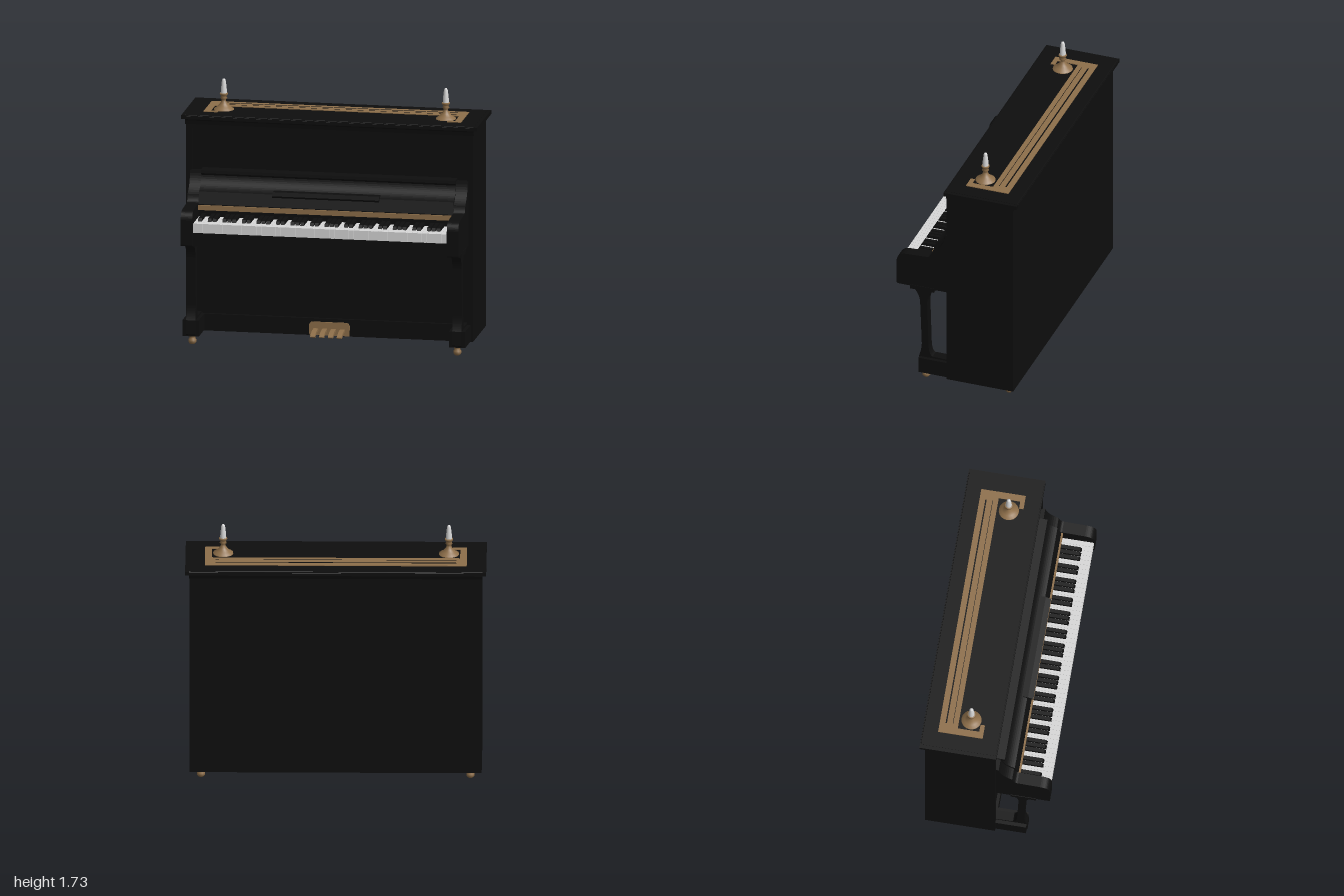
import * as THREE from 'three';

const mat = (name, color) => {
  const m = new THREE.MeshStandardMaterial({ color });
  m.name = name;
  return m;
};

export function createModel() {
  const model = new THREE.Group();
  model.name = 'uprightPiano';
  const black = mat('black lacquer', 0x0e0e0e);
  const gold = mat('brass', 0x8e6f4a);
  const white = mat('ivory', 0xd8d8d8);

  const add = (name, geometry, material, parent = model) => {
    const m = new THREE.Mesh(geometry, material);
    m.name = name;
    parent.add(m);
    return m;
  };
  // Box given by its limits on each axis
  const box = (name, material, x0, x1, y0, y1, z0, z1, parent) => {
    const g = new THREE.BoxGeometry(x1 - x0, y1 - y0, z1 - z0);
    g.translate((x0 + x1) / 2, (y0 + y1) / 2, (z0 + z1) / 2);
    return add(name, g, material, parent);
  };
  // Side profile drawn in (z, y), extruded along x from x0 to x1
  const profile = (name, material, shape, x0, x1, parent) => {
    const g = new THREE.ExtrudeGeometry(shape, { depth: x1 - x0, bevelEnabled: false, curveSegments: 10 });
    g.rotateY(-Math.PI / 2);
    g.translate(x1, 0, 0);
    return add(name, g, material, parent);
  };
  const poly = (pts) => new THREE.Shape(pts.map(([a, b]) => new THREE.Vector2(a, b)));
  const lathe = (pts, seg = 20) => new THREE.LatheGeometry(pts.map(([r, y]) => new THREE.Vector2(r, y)), seg);

  // Case: main body, raised side stiles and bottom rail
  box('caseBody', black, -0.97, 0.97, 0.055, 1.47, -0.4, 0.05);
  for (const s of [-1, 1]) {
    const a = s * 0.93, b = s * 0.97;
    box('caseStile', black, Math.min(a, b), Math.max(a, b), 0.055, 1.47, 0.05, 0.07);
  }
  box('bottomRail', black, -0.93, 0.93, 0.055, 0.17, 0.05, 0.07);
  box('topRail', black, -0.93, 0.93, 1.43, 1.47, 0.05, 0.065);

  // Lid with a stepped moulding beneath
  profile('lid', black, poly([
    [-0.4, 1.46], [0.07, 1.46], [0.074, 1.485], [0.083, 1.495], [0.083, 1.515], [0.075, 1.523],
    [-0.427, 1.523], [-0.435, 1.515], [-0.435, 1.495], [-0.41, 1.485],
  ]), -0.975, 0.975);
  box('lidEdge', black, -1, 1, 1.495, 1.521, -0.434, 0.082);

  // Brass inlay on the lid: long band, returned ends and two dark lines
  const inlay = new THREE.Group();
  inlay.name = 'lidInlay';
  model.add(inlay);
  box('inlayBand', gold, -0.87, 0.87, 1.522, 1.528, -0.33, -0.205, inlay);
  for (const s of [-1, 1]) {
    const span = (a, b) => (s > 0 ? [a, b] : [-b, -a]);
    box('inlayEnd', gold, ...span(0.825, 0.87), 1.522, 1.528, -0.205, -0.03, inlay);
    box('inlayFoot', gold, ...span(0.775, 0.825), 1.522, 1.528, -0.06, -0.03, inlay);
  }
  box('inlayLine', black, -0.8, 0.8, 1.528, 1.529, -0.291, -0.282, inlay);
  box('inlayLine', black, -0.8, 0.8, 1.528, 1.529, -0.243, -0.24, inlay);

  // Candlesticks
  for (const s of [-1, 1]) {
    const stick = new THREE.Group();
    stick.name = 'candlestick';
    stick.position.set(s * 0.75, 1.52, -0.125);
    model.add(stick);
    add('candleHolder', lathe([
      [0.068, 0], [0.066, 0.01], [0.045, 0.022], [0.028, 0.04], [0.016, 0.06], [0.015, 0.072],
      [0.024, 0.08], [0.018, 0.09], [0.022, 0.1], [0.028, 0.108], [0.026, 0.116], [0, 0.116],
    ]), gold, stick);
    add('candle', lathe([[0.021, 0.114], [0.019, 0.15], [0.013, 0.2], [0.008, 0.211], [0, 0.213]], 14), white, stick);
  }

  // Key bed
  box('keyBed', black, -0.87, 0.87, 0.71, 0.805, 0.05, 0.425);

  // Cheeks: rounded arms sweeping up to the upper panel
  const cheek = new THREE.Shape();
  cheek.moveTo(0.05, 0.71);
  cheek.lineTo(0.425, 0.71);
  cheek.quadraticCurveTo(0.435, 0.71, 0.435, 0.725);
  cheek.lineTo(0.435, 0.89);
  cheek.quadraticCurveTo(0.43, 0.945, 0.37, 0.95);
  cheek.lineTo(0.215, 0.957);
  cheek.quadraticCurveTo(0.19, 0.96, 0.18, 1.01);
  cheek.quadraticCurveTo(0.1, 1.06, 0.09, 1.15);
  cheek.lineTo(0.05, 1.15);

  // Front leg with its toe bar, narrow shaft and flared top
  const leg = new THREE.Shape();
  leg.moveTo(0.05, 0.06);
  leg.lineTo(0.27, 0.06);
  leg.lineTo(0.282, 0.075);
  leg.lineTo(0.28, 0.17);
  leg.quadraticCurveTo(0.262, 0.22, 0.26, 0.27);
  leg.lineTo(0.272, 0.6);
  leg.quadraticCurveTo(0.285, 0.69, 0.36, 0.715);
  leg.lineTo(0.15, 0.715);
  leg.quadraticCurveTo(0.212, 0.69, 0.222, 0.6);
  leg.lineTo(0.212, 0.26);
  leg.quadraticCurveTo(0.21, 0.2, 0.185, 0.183);
  leg.lineTo(0.05, 0.18);

  const caster = lathe([[0, 0], [0.016, 0.003], [0.027, 0.016], [0.027, 0.032], [0.018, 0.044], [0.022, 0.05], [0.022, 0.062]], 16);
  for (const s of [-1, 1]) {
    const span = (a, b) => (s > 0 ? [a, b] : [-b, -a]);
    profile('cheek', black, cheek, ...span(0.86, 0.938));
    profile('frontLeg', black, leg, ...span(0.868, 0.93));
    box('legFoot', black, ...span(0.845, 0.955), 0.06, 0.17, 0.06, 0.276);
    box('legCapital', black, ...span(0.855, 0.942), 0.69, 0.72, 0.17, 0.34);
    for (const z of [0.24, -0.345]) {
      add('caster', caster, gold).position.set(s * 0.895, 0, z);
    }
  }

  // Fallboard with top moulding, music ledge and brass strip
  const fall = new THREE.Shape();
  fall.moveTo(0.05, 0.8);
  fall.lineTo(0.21, 0.8);
  fall.lineTo(0.21, 0.95);
  fall.lineTo(0.185, 1.03);
  fall.quadraticCurveTo(0.115, 1.06, 0.103, 1.125);
  fall.lineTo(0.12, 1.14);
  fall.lineTo(0.118, 1.16);
  fall.lineTo(0.05, 1.165);
  profile('fallboard', black, fall, -0.86, 0.86);
  profile('musicLedge', black, poly([[0.12, 1.02], [0.215, 1.015], [0.226, 1.028], [0.19, 1.048], [0.12, 1.052]]), -0.36, 0.36);
  box('brassStrip', gold, -0.86, 0.86, 0.912, 0.945, 0.205, 0.222);

  // Keyboard: 52 white keys, black keys following the octave pattern
  const keys = new THREE.Group();
  keys.name = 'keyboard';
  model.add(keys);
  const pitch = 1.71 / 52;
  for (let i = 0; i < 52; i++) {
    const x = -0.855 + i * pitch;
    box('whiteKey', white, x + 0.0006, x + pitch - 0.0006, 0.805, 0.868, 0.2, 0.43, keys);
    // Notes start on A; no black key follows B or E
    if (i < 51 && i % 7 !== 1 && i % 7 !== 4) {
      const c = x + pitch;
      profile('blackKey', black, poly([[0.2, 0.866], [0.362, 0.866], [0.35, 0.888], [0.2, 0.89]]), c - 0.0125, c + 0.0125, keys);
    }
  }

  // Pedals on a brass plate
  const plate = new THREE.Shape();
  plate.moveTo(-0.135, 0.058);
  plate.lineTo(0.135, 0.058);
  plate.lineTo(0.138, 0.12);
  plate.quadraticCurveTo(0.135, 0.148, 0.11, 0.148);
  plate.lineTo(-0.11, 0.148);
  plate.quadraticCurveTo(-0.135, 0.148, -0.138, 0.12);
  const plateGeo = new THREE.ExtrudeGeometry(plate, { depth: 0.008, bevelEnabled: false });
  plateGeo.translate(0, 0, 0.07);
  add('pedalPlate', plateGeo, gold);
  const pedalSide = new THREE.Shape();
  pedalSide.moveTo(0.07, 0.085);
  pedalSide.quadraticCurveTo(0.13, 0.09, 0.19, 0.066);
  pedalSide.quadraticCurveTo(0.212, 0.068, 0.205, 0.08);
  pedalSide.quadraticCurveTo(0.14, 0.108, 0.07, 0.104);
  for (const x of [-0.09, -0.03, 0.03, 0.09]) profile('pedal', gold, pedalSide, x - 0.016, x + 0.016);

  return model;
}
